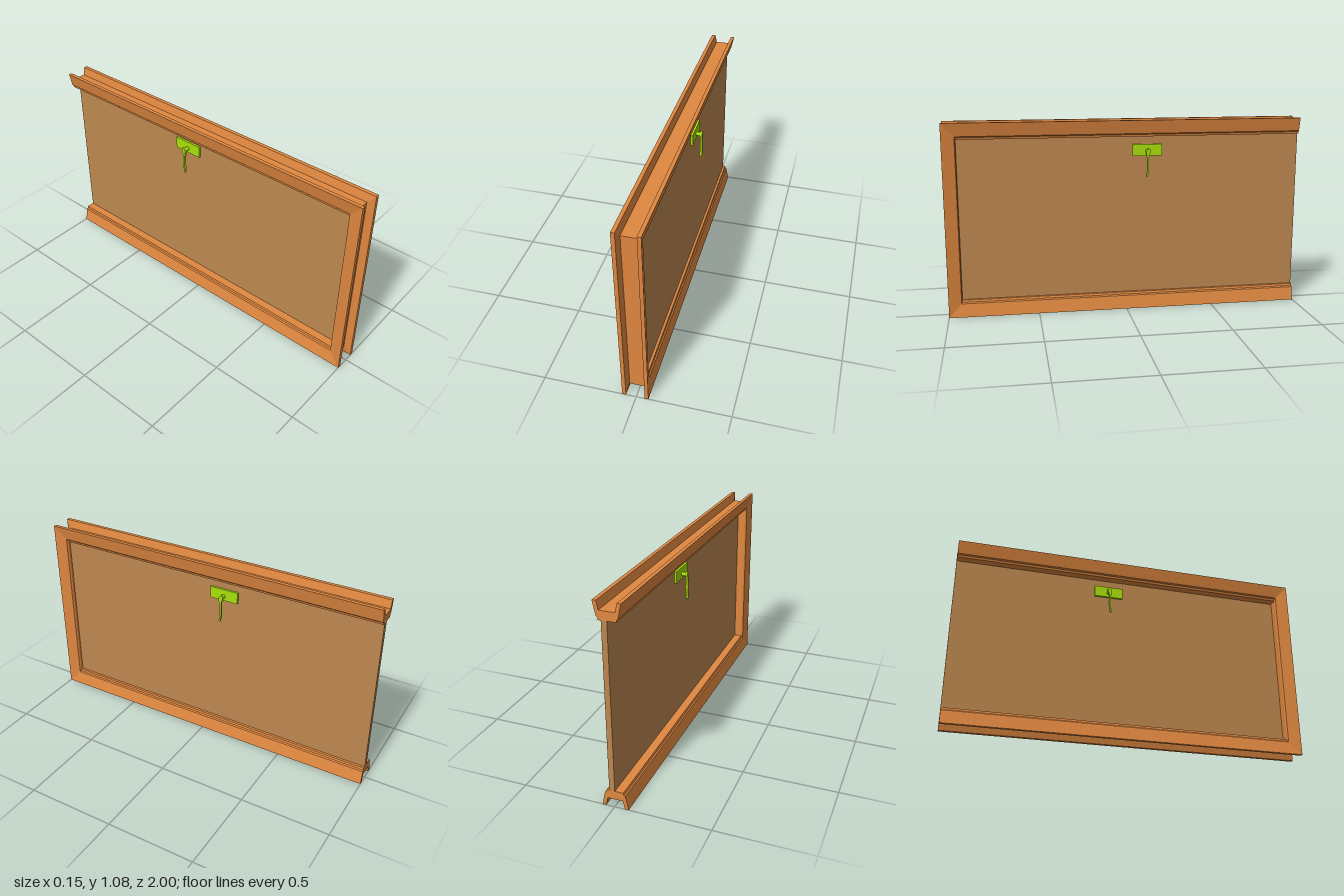
import * as THREE from 'three';

const H = 1.08, CX = -0.005;

// Channel profile: [x offset, depth from the outer edge of rails, depth on stile]
const half = [
  [0.04, 0.045, 0.04], [0.05, 0, 0], [0.07, 0, 0],
  [0.054, 0.074, 0.07], [0.047, 0.08, 0.073], [0.044, 0.092, 0.075],
];
const profile = [...half, ...half.slice().reverse().map(([x, a, b]) => [-x, a, b])];

// Mitred three-sided frame, open at the back end
function frameGeometry() {
  const stations = [
    ([x, d]) => [CX + x, H - d, -1],
    ([x, d, s]) => [CX + x, H - d, 1 - s],
    ([x, d, s]) => [CX + x, d, 1 - s],
    ([x, d]) => [CX + x, d, -1],
  ].map(f => profile.map(f));
  const pos = [];
  const tri = (a, b, c) => pos.push(...a, ...b, ...c);
  const n = profile.length;
  for (let k = 0; k < 3; k++) {
    for (let i = 0; i < n; i++) {
      const j = (i + 1) % n;
      const a = stations[k][i], b = stations[k][j];
      const c = stations[k + 1][j], d = stations[k + 1][i];
      tri(a, c, b);
      tri(a, d, c);
    }
  }
  // End caps on the cut rails
  const outline = profile.map(([x, d]) => new THREE.Vector2(x, d));
  const faces = THREE.ShapeUtils.triangulateShape(outline, []);
  for (const cap of [stations[0], stations[3]]) {
    for (const [i, j, k] of faces) {
      const [a, b, c] = [cap[i], cap[j], cap[k]];
      const turn = (b[0] - a[0]) * (c[1] - a[1]) - (b[1] - a[1]) * (c[0] - a[0]);
      if (turn < 0) tri(a, b, c); else tri(a, c, b);
    }
  }
  const g = new THREE.BufferGeometry();
  g.setAttribute('position', new THREE.Float32BufferAttribute(pos, 3));
  g.computeVertexNormals();
  return g;
}

// Handle with back plate, spindle and hanging lever; side is +1 or -1 along x
function makeHandle(side, material) {
  const handle = new THREE.Group();
  handle.name = side > 0 ? 'leftHandle' : 'rightHandle';
  const add = (name, geometry, x, y, z) => {
    const m = new THREE.Mesh(geometry, material);
    m.name = name;
    m.position.set(x, y, z);
    handle.add(m);
  };
  add('handlePlate', new THREE.BoxGeometry(0.012, 0.065, 0.165), 0.006, 0.912, 0);
  const spindle = new THREE.CylinderGeometry(0.011, 0.011, 0.036, 16).rotateZ(Math.PI / 2);
  add('handleSpindle', spindle, 0.018, 0.906, 0);

  // Lever outline, with a rounded head and a slightly bent tapering tail
  const s = new THREE.Shape();
  s.moveTo(-0.012 * side, 0.9);
  s.bezierCurveTo(-0.014 * side, 0.922, 0.012 * side, 0.934, 0.013 * side, 0.912);
  s.bezierCurveTo(0.013 * side, 0.9, 0.002 * side, 0.885, 0.003 * side, 0.87);
  s.bezierCurveTo(0.006 * side, 0.83, 0.005 * side, 0.8, -0.003 * side, 0.765);
  s.lineTo(-0.011 * side, 0.768);
  s.bezierCurveTo(-0.004 * side, 0.8, -0.004 * side, 0.84, -0.007 * side, 0.87);
  s.closePath();
  const lever = new THREE.ExtrudeGeometry(s, { depth: 0.013, bevelEnabled: false, curveSegments: 8 });
  add('handleLever', lever.rotateY(Math.PI / 2), 0.034, 0, 0);

  handle.rotation.y = side > 0 ? 0 : Math.PI;
  handle.position.set(side > 0 ? 0.025 : -0.004, 0, -0.12);
  return handle;
}

export function createModel() {
  const wood = new THREE.MeshStandardMaterial({ color: 0xe08840 });
  wood.name = 'orange wood';
  const board = new THREE.MeshStandardMaterial({ color: 0xbe8850 });
  board.name = 'tan board';
  const green = new THREE.MeshStandardMaterial({ color: 0xa8e00b });
  green.name = 'lime metal';

  const model = new THREE.Group();
  model.name = 'framedPanel';

  const frame = new THREE.Mesh(frameGeometry(), wood);
  frame.name = 'frame';
  model.add(frame);

  // Panel seated between the rails
  const panel = new THREE.Mesh(new THREE.BoxGeometry(0.029, 0.904, 1.93), board);
  panel.name = 'panel';
  panel.position.set(0.0105, H / 2, -0.035);
  model.add(panel);

  for (const side of [1, -1]) model.add(makeHandle(side, green));
  return model;
}
